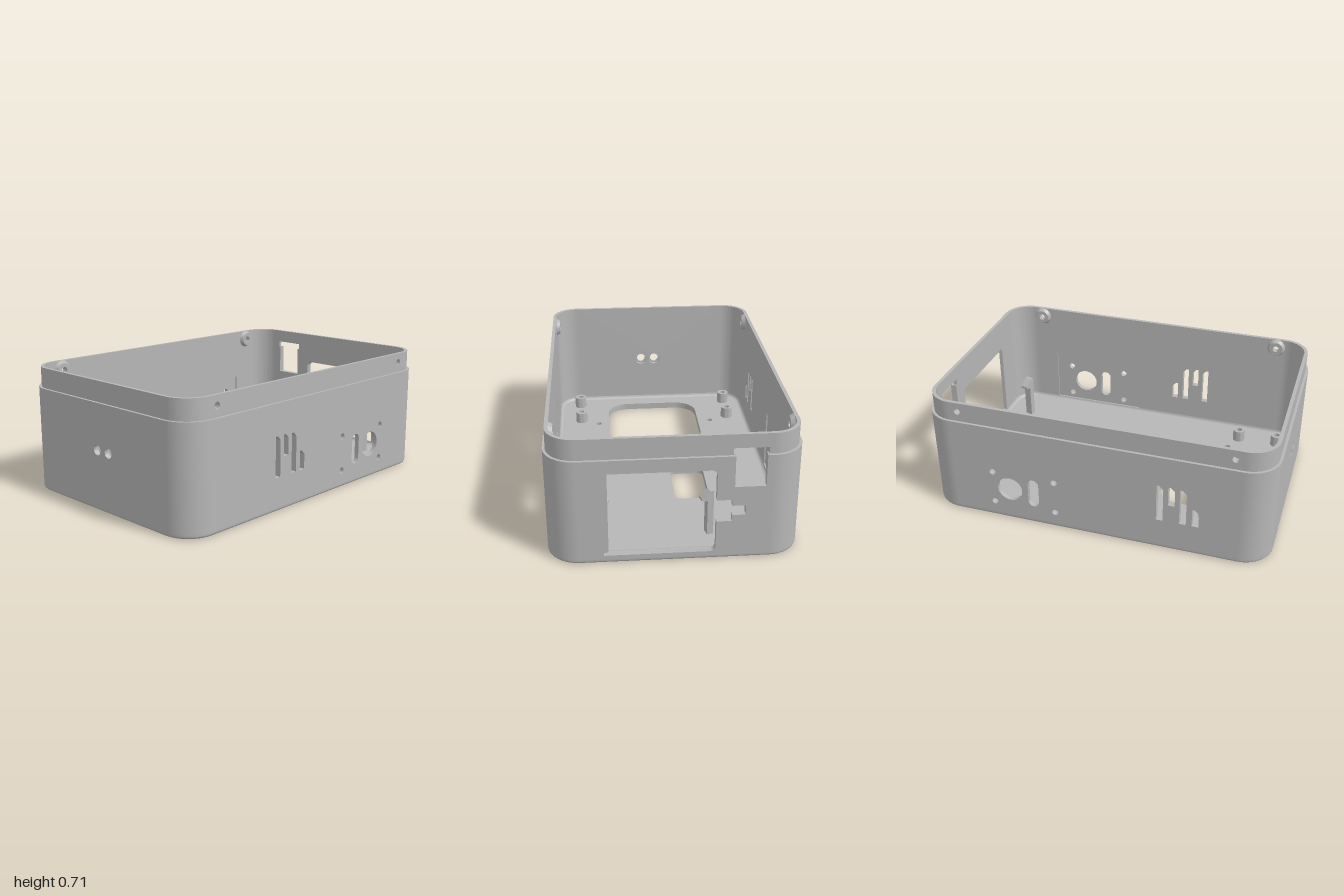
import * as THREE from 'three';
import { toCreasedNormals } from 'three/addons/utils/BufferGeometryUtils.js';

const HX = 1, HZ = 0.665, R = 0.17;          // half sizes and corner radius
const FX = HX - R, FZ = HZ - R;              // half lengths of the flat walls
const RIM = 0.6, TOP = 0.715, FLOOR = 0.04;

const poly = (pts) => new THREE.Shape(pts.map(([x, y]) => new THREE.Vector2(x, y)));
const rect = (x0, y0, x1, y1) => poly([[x0, y0], [x1, y0], [x1, y1], [x0, y1]]);
const circle = (x, y, r) => new THREE.Shape().absarc(x, y, r, 0, Math.PI * 2);

function roundRect(x0, y0, x1, y1, r) {
  const s = new THREE.Shape(), q = Math.PI / 2;
  s.absarc(x1 - r, y1 - r, r, 0, q);
  s.absarc(x0 + r, y1 - r, r, q, 2 * q);
  s.absarc(x0 + r, y0 + r, r, 2 * q, 3 * q);
  s.absarc(x1 - r, y0 + r, r, 3 * q, 4 * q);
  s.closePath();
  return s;
}

function extrude(shape, depth, holes = []) {
  shape.holes.push(...holes);
  const g = new THREE.ExtrudeGeometry(shape, { depth, bevelEnabled: false, curveSegments: 12 });
  return toCreasedNormals(g, 0.5);
}

// Vertical slots with one chamfered top corner
const vents = (shift) => [[-0.36, 0.19, 0.42], [-0.295, 0.3, 0.42], [-0.23, 0.19, 0.415], [-0.16, 0.19, 0.3]]
  .map(([x, b, t]) => {
    const a = x + shift, e = a + 0.038;
    return poly([[a, b], [e, b], [e, t - 0.025], [a + 0.015, t], [a, t]]);
  });

// Connector holes; s mirrors them for the back wall
const ports = (s) => [
  roundRect(s * 0.3475 - 0.0325, 0.115, s * 0.3475 + 0.0325, 0.295, 0.0324),
  circle(s * 0.49, 0.205, 0.075),
  ...[0.22, 0.59].flatMap((x) => [0.1, 0.305].map((y) => circle(s * x, y, 0.019))),
];

// Large side opening with a stepped cable exit
function sideOpening(u0) {
  const s = new THREE.Shape();
  s.moveTo(u0, 0.045);
  s.lineTo(0.18, 0.045);
  s.absarc(0.18, 0.075, 0.03, -Math.PI / 2, 0);
  [[0.21, 0.225], [0.29, 0.225], [0.29, 0.26], [0.36, 0.26], [0.36, 0.315], [0.29, 0.315], [0.29, 0.35], [0.21, 0.35]]
    .forEach(([x, y]) => s.lineTo(x, y));
  s.absarc(0.18, 0.495, 0.03, 0, Math.PI / 2);
  s.lineTo(u0, 0.525);
  s.closePath();
  return s;
}

// Smooth band through rounded-rectangle rings given as [inset, height]
function band(rings) {
  const pos = [], idx = [], n = 10, count = 4 * (n + 1);
  for (const [inset, y] of rings) {
    for (let k = 0; k < 4; k++) {
      const cx = k === 0 || k === 3 ? FX : -FX, cz = k < 2 ? FZ : -FZ;
      for (let i = 0; i <= n; i++) {
        const a = (k + i / n) * Math.PI / 2;
        pos.push(cx + (R - inset) * Math.cos(a), y, cz + (R - inset) * Math.sin(a));
      }
    }
  }
  for (let r = 0; r < rings.length - 1; r++) {
    for (let j = 0; j < count; j++) {
      const a = r * count + j, b = r * count + (j + 1) % count;
      idx.push(a, a + count, b, b, a + count, b + count);
    }
  }
  const g = new THREE.BufferGeometry();
  g.setAttribute('position', new THREE.Float32BufferAttribute(pos, 3));
  g.setIndex(idx);
  return toCreasedNormals(g, 0.5);
}

export function createModel() {
  const model = new THREE.Group();
  model.name = 'enclosure';
  const grey = new THREE.MeshStandardMaterial({ color: 0xb6b6b6 });
  grey.name = 'grey plastic';
  const add = (name, geometry, x = 0, y = 0, z = 0, ry = 0) => {
    const m = new THREE.Mesh(geometry, grey);
    m.name = name;
    m.position.set(x, y, z);
    m.rotation.y = ry;
    model.add(m);
    return m;
  };
  const slab = (name, shape, y0, y1, holes, x = 0, z = 0) =>
    add(name, extrude(shape, y1 - y0, holes).rotateX(Math.PI / 2), x, y1, z);

  // Floor: lower sheet has the round foot recesses
  const floorHoles = () => [
    roundRect(-0.86, -0.3, -0.26, 0.3, 0.14),
    roundRect(0.095, -0.25, 0.455, -0.05, 0.03),
    circle(-0.56, -0.38, 0.019), circle(-0.56, 0.372, 0.019), circle(-0.18, 0, 0.019),
  ];
  const floorShape = () => roundRect(-HX + 0.015, -HZ + 0.015, HX - 0.015, HZ - 0.015, R - 0.015);
  slab('floorUnderside', floorShape(), 0, 0.014,
    [...floorHoles(), circle(-0.735, -0.5, 0.112), circle(-0.735, 0.49, 0.112)]);
  slab('floor', floorShape(), 0.014, FLOOR, floorHoles());

  // Rounded bottom edge and inner fillet
  const arc = [0, 1, 2, 3, 4].map((i) => i * Math.PI / 8);
  add('bottomEdge', band([...arc.map((a) => [0.015 * (1 - Math.sin(a)), 0.015 * (1 - Math.cos(a))]), [0, 0.025]]));
  add('innerFillet', band(arc.map((a) => [0.055 - 0.02 * Math.sin(a), 0.06 - 0.02 * Math.cos(a)]).reverse()));

  // Walls in three skins: outer shell, lip skin, inner skin with recesses
  const skins = [
    { name: 'outer', out: 0, inn: 0.015, y0: 0.025, y1: RIM },
    { name: 'lip', out: 0.015, inn: 0.027, y0: FLOOR, y1: TOP },
    { name: 'inner', out: 0.027, inn: 0.035, y0: FLOOR, y1: TOP },
  ];
  skins.forEach(({ name, out, inn, y0, y1 }, i) => {
    const t = inn - out;
    const screws = () => (i ? [circle(-0.78, 0.66, 0.019), circle(0.78, 0.66, 0.019)] : []);
    const recess = (s) => (i === 2 ? [rect(s * 0.4 - 0.29, 0.06, s * 0.4 + 0.29, 0.4)] : ports(s));
    const long = () => rect(-FX, y0, FX, y1);

    add(name + 'FrontWall', extrude(long(), t, [...vents(0), ...recess(1), ...screws()]), 0, 0, HZ - inn);
    add(name + 'BackWall', extrude(long(), t, [...vents(0.73), ...recess(-1), ...screws()]),
      0, 0, -HZ + inn, Math.PI);

    // Wall with two round jack holes, wider on the inside
    const r = i ? 0.038 : 0.028;
    add(name + 'JackWall', extrude(rect(-FZ, y0, FZ, y1), t, [circle(0.06, 0.34, r), circle(-0.032, 0.34, r)]),
      -HX + inn, 0, 0, -Math.PI / 2);

    // Wall with the large opening and the stepped notch near the rim
    const open = i
      ? rect(-FZ, y0, FZ, y1)
      : poly([[-FZ, y0], [FZ, y0], [FZ, y1], [0.46, y1], [0.46, 0.425], [0.3, 0.425], [0.3, y1], [-FZ, y1]]);
    const holes = [sideOpening(i === 2 ? -0.345 : -0.37)];
    if (i) {
      holes.push(poly([[0.3, 0.425], [0.46, 0.425], [0.46, 0.602], [0.47, 0.602],
        [0.47, 0.638], [0.29, 0.638], [0.29, 0.602], [0.3, 0.602]]));
    }
    add(name + 'OpeningWall', extrude(open, t, holes), HX - inn, 0, 0, Math.PI / 2);

    // Rounded corners
    for (let k = 0; k < 4; k++) {
      const a = k * Math.PI / 2, b = a + Math.PI / 2;
      const s = new THREE.Shape();
      s.absarc(0, 0, R - out, a, b);
      s.absarc(0, 0, R - inn, b, a, true);
      s.closePath();
      slab(name + 'Corner', s, y0, y1, [], k === 0 || k === 3 ? FX : -FX, k < 2 ? FZ : -FZ);
    }
  });

  // Tapered rings around the lid screw holes
  const ring = (pts) => toCreasedNormals(
    new THREE.LatheGeometry(pts.map(([x, y]) => new THREE.Vector2(x, y)), 28), 0.5);
  for (const x of [-0.78, 0.78]) {
    for (const s of [-1, 1]) {
      add('lidScrewBoss', ring([[0.055, 0], [0.042, 0.022], [0.019, 0.022], [0.019, 0]]),
        x, 0.66, s * (HZ - 0.035)).rotation.x = -s * Math.PI / 2;
    }
  }

  // Standoffs on the floor
  for (const [x, z] of [[-0.86, -0.51], [-0.617, -0.503], [-0.855, 0.493], [-0.612, 0.486]]) {
    add('standoff', ring([[0.037, 0], [0.037, 0.07], [0.018, 0.07], [0.018, 0.005], [0, 0.005]]), x, FLOOR, z);
  }

  // Facing snap clips for a circuit board
  const clip = () => extrude(poly([[0, 0], [0.035, 0], [0.035, 0.205], [0.068, 0.212],
    [0.068, 0.225], [0.022, 0.265], [0, 0.265]]), 0.045).translate(0, 0, -0.0225);
  add('backClip', clip(), 0.805, FLOOR, -0.215, -Math.PI / 2 + 0.25);
  add('frontClip', clip(), 0.805, FLOOR, 0.405, Math.PI / 2 - 0.25);

  return model;
}
